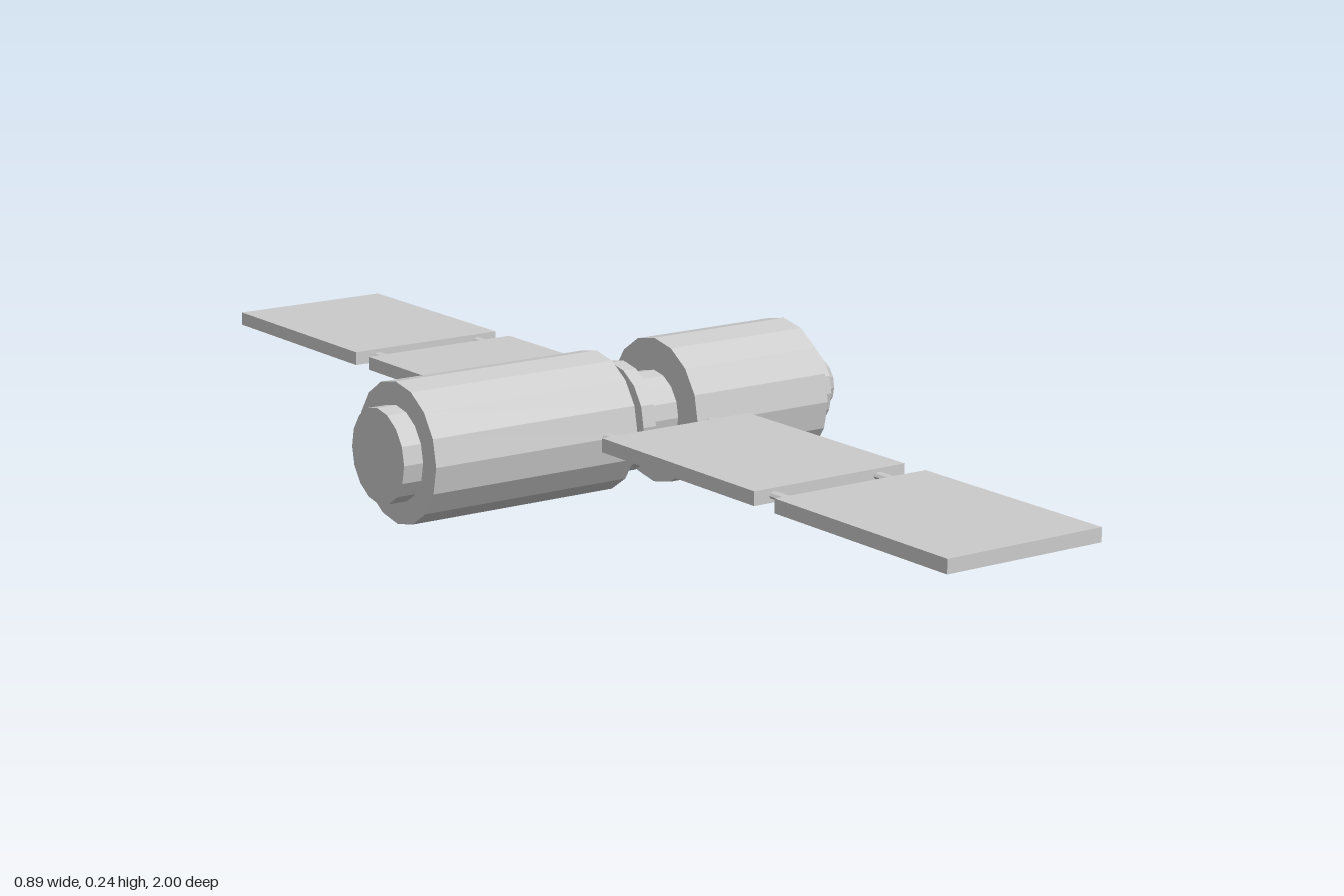
import * as THREE from 'three';

const AXIS_Y = 0.122;
const AXIS_Z = -0.003;
const SIDES = 16;

export function createModel() {
  const model = new THREE.Group();
  model.name = 'satellite';
  const material = new THREE.MeshStandardMaterial({ color: 0xcccccc, flatShading: true });

  function add(parent, name, geometry, x, y, z) {
    const mesh = new THREE.Mesh(geometry, material);
    mesh.name = name;
    mesh.position.set(x, y, z);
    parent.add(mesh);
    return mesh;
  }

  // Stepped hull: cylinders strung along the x axis [name, start, end, radius]
  const hull = new THREE.Group();
  hull.name = 'hull';
  model.add(hull);
  const sections = [
    ['rearCap', -0.448, -0.413, 0.078],
    ['rearBody', -0.413, -0.029, 0.116],
    ['rearNeck', -0.029, 0, 0.071],
    ['neckRing', 0, 0.025, 0.092],
    ['frontNeck', 0.025, 0.087, 0.068],
    ['frontBody', 0.087, 0.356, 0.122],
    ['noseCollar', 0.356, 0.4, 0.076],
  ];
  for (const [name, start, end, radius] of sections) {
    const geometry = new THREE.CylinderGeometry(radius, radius, end - start, SIDES);
    geometry.rotateZ(-Math.PI / 2);
    add(hull, name, geometry, (start + end) / 2, AXIS_Y, AXIS_Z);
  }

  // Rounded nose
  const profile = [[0.056, 0], [0.055, 0.014], [0.043, 0.032], [0.023, 0.043], [0, 0.046]];
  const dome = new THREE.LatheGeometry(profile.map(([r, h]) => new THREE.Vector2(r, h)), SIDES);
  dome.rotateZ(-Math.PI / 2);
  add(hull, 'noseDome', dome, 0.4, AXIS_Y, AXIS_Z);

  // Two solar wings, each of two panels joined by pairs of rods
  for (const side of [1, -1]) {
    const wing = new THREE.Group();
    wing.name = side > 0 ? 'frontWing' : 'backWing';
    model.add(wing);
    const inner = side > 0 ? 0.15 : 0.156;
    const middle = side > 0 ? 0.55 : 0.556;
    const panels = [['innerPanel', inner, middle], ['outerPanel', 0.6, 1]];
    for (const [name, start, end] of panels) {
      const geometry = new THREE.BoxGeometry(0.292, 0.023, end - start);
      add(wing, name, geometry, 0.021, 0.1245, side * (start + end) / 2);
    }
    const rods = [['rootRod', 0.07, inner + 0.01], ['hingeRod', middle - 0.01, 0.61]];
    const rodXs = side > 0 ? [-0.087, 0.115] : [-0.079, 0.128];
    for (const [name, start, end] of rods) {
      for (const x of rodXs) {
        const geometry = new THREE.CylinderGeometry(0.01, 0.01, end - start, 8);
        geometry.rotateX(Math.PI / 2).scale(1, 0.6, 1);
        add(wing, name, geometry, x, 0.1245, side * (start + end) / 2);
      }
    }
  }
  return model;
}
